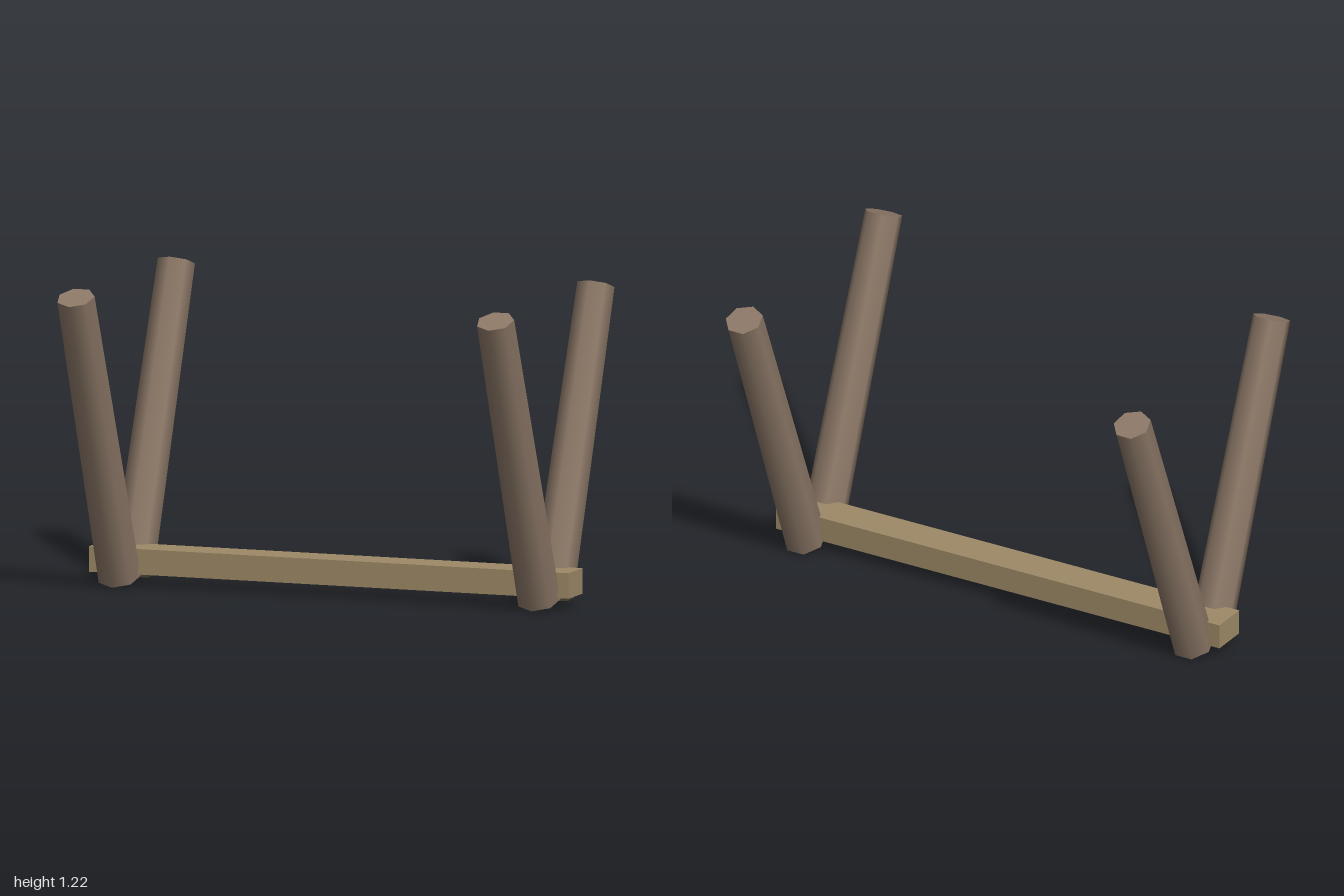
import * as THREE from 'three';

export function createModel() {
  const group = new THREE.Group();

  const barkWood = new THREE.MeshStandardMaterial({ color: 0x8c7867 });
  barkWood.name = 'barkWood';
  const plankWood = new THREE.MeshStandardMaterial({ color: 0x9e8a67 });
  plankWood.name = 'plankWood';

  const offsetZ = -0.0025;

  // Long beam joining the two V-shaped pairs
  const beam = new THREE.Mesh(new THREE.BoxGeometry(2, 0.1, 0.15), plankWood);
  beam.name = 'beam';
  beam.position.set(0, 0.1, offsetZ - 0.001);
  group.add(beam);

  // Tapered seven-sided posts leaning outwards to front and back
  const postGeometry = new THREE.CylinderGeometry(0.075, 0.085, 1.246, 7);
  for (const x of [-1, 1]) {
    for (const z of [-1, 1]) {
      const post = new THREE.Mesh(postGeometry, barkWood);
      post.name = (z > 0 ? 'front' : 'back') + (x > 0 ? 'Left' : 'Right') + 'Post';
      post.position.set(x * 0.875, 0.614, z * 0.3 + offsetZ);
      post.rotation.x = z * 0.38;
      group.add(post);
    }
  }

  return group;
}
